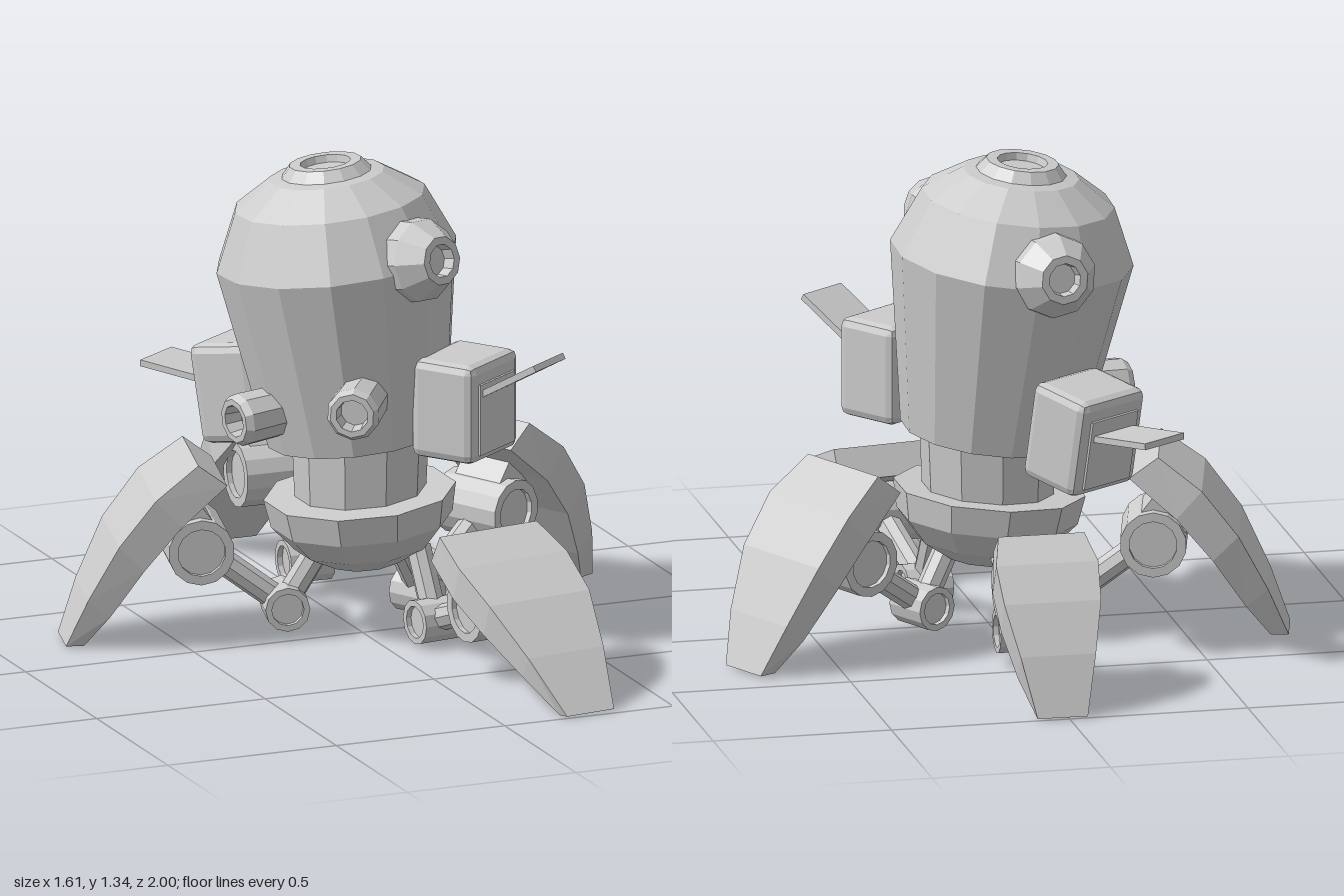
import * as THREE from 'three';
import { RoundedBoxGeometry } from 'three/addons/geometries/RoundedBoxGeometry.js';

const mat = new THREE.MeshStandardMaterial({ color: 0xcccccc, flatShading: true });
const UP = new THREE.Vector3(0, 1, 0);
const V = (a) => new THREE.Vector3(...a);

function part(parent, name, geometry, pos = [0, 0, 0]) {
  const m = new THREE.Mesh(geometry, mat);
  m.name = name;
  m.position.set(...pos);
  parent.add(m);
  return m;
}

// Turn an object so its y axis runs along dir
function aim(object, dir) {
  object.quaternion.setFromUnitVectors(UP, V(dir).normalize());
  return object;
}

const lathe = (points, sides) =>
  new THREE.LatheGeometry(points.map(([r, y]) => new THREE.Vector2(r, y)), sides);

// Cylinder with recessed ends, centred on its axis
const hub = (r, length, sides = 14) => {
  const h = length / 2, i = r * 0.72, d = 0.015;
  return lathe([[0, d - h], [i, d - h], [i, -h], [r, -h], [r, h], [i, h], [i, h - d], [0, h - d]], sides);
};

function rod(parent, name, a, b, r) {
  const from = V(a), to = V(b);
  const m = part(parent, name, new THREE.CylinderGeometry(r, r, from.distanceTo(to), 8),
    from.clone().add(to).multiplyScalar(0.5).toArray());
  return aim(m, to.sub(from).toArray());
}

// Curved plate: each section is [outer r, outer y, inner r, inner y, width]
function shellGeometry(sections) {
  const pos = [], idx = [], n = sections.length;
  for (const [ox, oy, ix, iy, w] of sections) {
    pos.push(ox, oy, w / 2, ox, oy, -w / 2, ix, iy, -w / 2, ix, iy, w / 2);
  }
  for (let i = 0; i < n - 1; i++) {
    for (let k = 0; k < 4; k++) {
      const a = i * 4 + k, b = i * 4 + (k + 1) % 4;
      idx.push(a, a + 4, b, a + 4, b + 4, b);
    }
  }
  const e = (n - 1) * 4;
  idx.push(0, 1, 2, 0, 2, 3, e, e + 2, e + 1, e, e + 3, e + 2);
  const g = new THREE.BufferGeometry();
  g.setAttribute('position', new THREE.Float32BufferAttribute(pos, 3));
  g.setIndex(idx);
  g.computeVertexNormals();
  return g;
}

// Leg in its own plane: x runs outward, y up
function leg(root, { name, origin, dir, hip, ankle, knee, shell }) {
  const g = new THREE.Group();
  g.name = name;
  g.position.set(origin[0], 0, origin[1]);
  g.rotation.y = Math.atan2(-dir[1], dir[0]);
  root.add(g);
  rod(g, 'upperRod', [...hip, 0], [...ankle, 0], 0.036);
  rod(g, 'lowerRod', [...ankle, 0], [...knee, 0], 0.036);
  part(g, 'lowerJoint', hub(0.062, 0.13, 12), [...ankle, 0]).rotation.x = Math.PI / 2;
  part(g, 'kneeJoint', hub(0.092, 0.22), [...knee, 0]).rotation.x = Math.PI / 2;
  const bracket = part(g, 'kneeBracket', new THREE.BoxGeometry(0.13, 0.12, 0.16),
    [knee[0] + 0.03, knee[1] + 0.06, 0]);
  bracket.rotation.z = Math.atan2(shell[1][1] - shell[0][1], shell[1][0] - shell[0][0]);
  part(g, 'legShell', shellGeometry(shell));
}

// Chamfered equipment box with a raised flap; yaw turns its face from +z
function equipmentBox(root, name, pos, yaw, tilt, flapY, slope) {
  const g = new THREE.Group();
  g.name = name;
  g.position.set(...pos);
  g.rotation.set(tilt, yaw, 0, 'YXZ');
  root.add(g);
  part(g, 'box', new RoundedBoxGeometry(0.25, 0.28, 0.2, 1, 0.025));
  part(g, 'facePanel', new THREE.BoxGeometry(0.18, 0.2, 0.02), [0, -0.015, 0.097]);
  const hinge = new THREE.Group();
  hinge.position.set(0, flapY, 0.09);
  hinge.rotation.x = -slope;
  g.add(hinge);
  part(hinge, 'flap', new THREE.BoxGeometry(0.155, 0.018, 0.21), [0, 0, 0.105]);
}

export function createModel() {
  const root = new THREE.Group();

  // Domed head, slightly tilted, with a recessed cap
  const head = part(root, 'head', lathe([
    [0, -0.49], [0.25, -0.49], [0.335, 0.02], [0.265, 0.18], [0.16, 0.25], [0.125, 0.255],
    [0.1, 0.285], [0.07, 0.285], [0.065, 0.265], [0, 0.265]], 14), [-0.05, 1.05, -0.06]);
  head.rotation.set(-0.06, 0, 0.1);

  // Neck and the bowl beneath it
  part(root, 'neck', new THREE.CylinderGeometry(0.19, 0.18, 0.24, 10), [0.01, 0.49, -0.04]);
  const bowl = part(root, 'bowl', lathe([
    [0, 0], [0.1, 0], [0.19, 0.05], [0.25, 0.12], [0.265, 0.2], [0, 0.2]], 10), [0.02, 0.2, -0.03]);
  bowl.rotation.z = 0.08;

  // Conical eyes with recessed lenses
  const eye = lathe([[0, -0.06], [0.12, -0.06], [0.115, 0.04], [0.068, 0.11], [0.046, 0.11],
    [0.042, 0.075], [0, 0.075]], 10);
  aim(part(root, 'frontEye', eye, [0.07, 1.11, 0.2]), [0.35, 0.18, 0.9]);
  aim(part(root, 'backEye', eye, [-0.1, 1.08, -0.34]), [-0.12, 0.12, -1]);

  // Short open nozzles
  const nozzle = lathe([[0, -0.2], [0.07, -0.2], [0.074, -0.02], [0.062, 0], [0.045, 0],
    [0.04, -0.05], [0, -0.05]], 10);
  aim(part(root, 'frontNozzle', nozzle, [-0.175, 0.73, 0.34]), [-0.55, 0, 0.84]);
  aim(part(root, 'sideNozzle', nozzle, [-0.39, 0.655, 0.02]), [-1, -0.05, 0.2]);

  equipmentBox(root, 'frontBox', [0.21, 0.695, 0.22], 0.62, 0, 0.05, 0.52);
  equipmentBox(root, 'backBox', [-0.185, 0.635, -0.365], Math.PI + 0.59, 0.17, 0.03, 0.25);

  // Four legs
  const sideShell = (s) => [
    [0.46, 0.53, 0.38, 0.47, 0.3], [0.58, 0.44, 0.51, 0.36, 0.34], [0.68, 0.31, 0.61, 0.24, 0.32],
    [0.76, 0.15, 0.7, 0.1, 0.24], [0.815, 0.01, 0.765, 0.01, 0.15]].map(
    ([a, b, c, d, w]) => [a + s, b, c + s, d, w]);
  leg(root, { name: 'rightLeg', origin: [0, -0.04], dir: [-0.97, -0.25],
    hip: [0.1, 0.25], ankle: [0.2, 0.085], knee: [0.445, 0.27], shell: sideShell(0) });
  leg(root, { name: 'leftLeg', origin: [0.02, 0.035], dir: [0.89, -0.45],
    hip: [0.1, 0.25], ankle: [0.2, 0.085], knee: [0.47, 0.27], shell: sideShell(0.02) });
  leg(root, { name: 'frontLeg', origin: [0.11, -0.03], dir: [0.145, 0.99],
    hip: [0.12, 0.26], ankle: [0.21, 0.075], knee: [0.545, 0.2], shell: [
      [0.49, 0.4, 0.445, 0.32, 0.31], [0.62, 0.345, 0.59, 0.25, 0.345], [0.76, 0.27, 0.73, 0.18, 0.32],
      [0.9, 0.15, 0.87, 0.09, 0.24], [1.03, 0.01, 0.99, 0.005, 0.15]] });
  leg(root, { name: 'backLeg', origin: [0, -0.04], dir: [0.02, -1],
    hip: [0.14, 0.26], ankle: [0.38, 0.1], knee: [0.62, 0.29], shell: [
      [0.67, 0.45, 0.605, 0.39, 0.24], [0.75, 0.39, 0.7, 0.3, 0.285], [0.825, 0.3, 0.78, 0.21, 0.27],
      [0.9, 0.17, 0.86, 0.1, 0.21], [0.96, 0.01, 0.92, 0.015, 0.14]] });

  return root;
}
